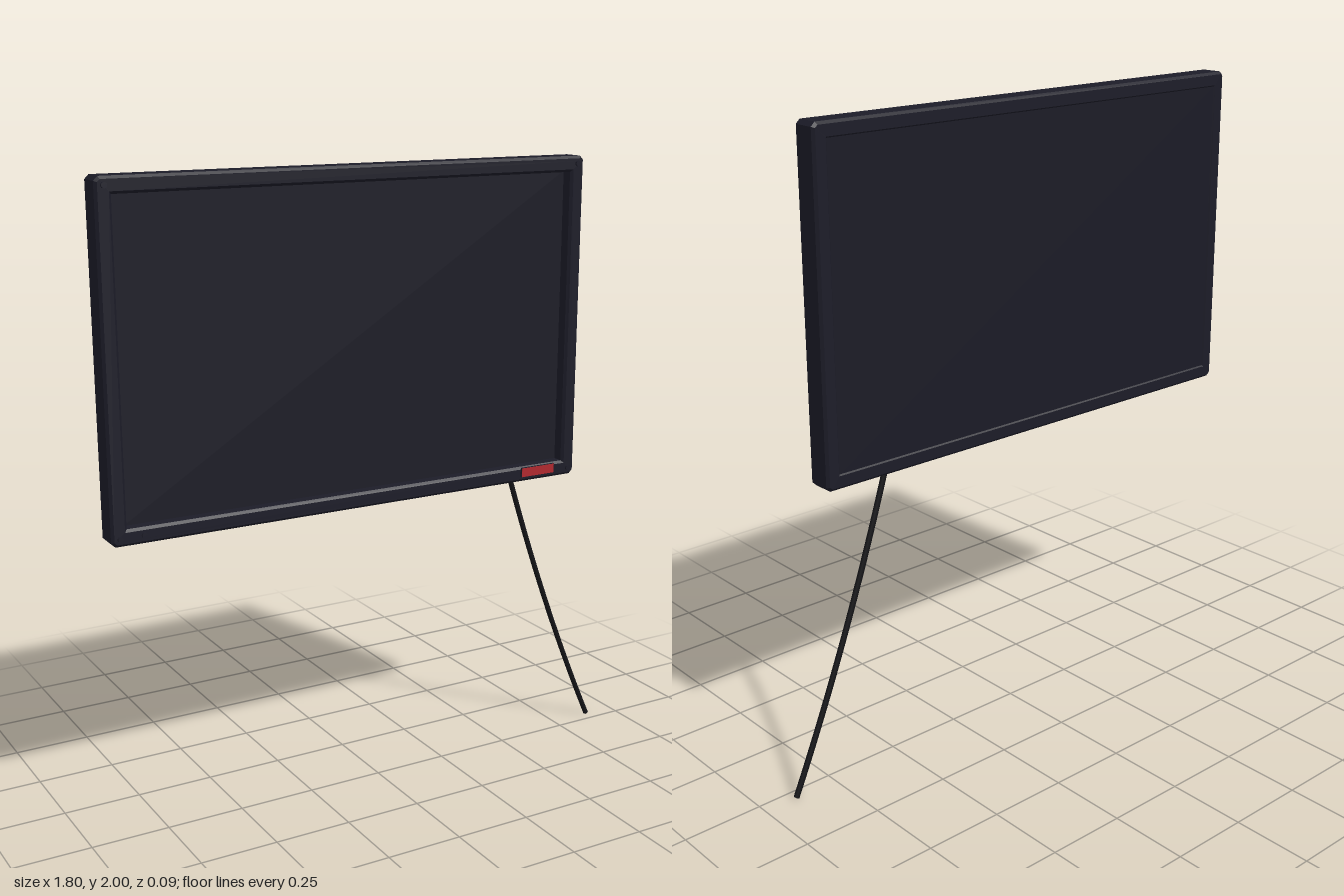
import * as THREE from 'three';

const material = (name, color, flatShading = false) => {
  const m = new THREE.MeshStandardMaterial({ color });
  m.name = name;
  m.flatShading = flatShading;
  return m;
};

// Rectangle outline with cut corners
function outline(target, w, h, c) {
  const x = w / 2, y = h / 2;
  const pts = [[-x + c, -y], [x - c, -y], [x, -y + c], [x, y - c], [x - c, y], [-x + c, y], [-x, y - c], [-x, -y + c]];
  return target.setFromPoints(pts.map(([a, b]) => new THREE.Vector2(a, b)));
}

export function createModel() {
  const group = new THREE.Group();
  const casing = material('casing charcoal', 0x1c1c28, true);
  const glass = material('screen charcoal', 0x1b1b26);
  const black = material('cable black', 0x141417);
  const red = material('label red', 0xb0282e);

  const add = (name, geometry, mat, x, y, z) => {
    const mesh = new THREE.Mesh(geometry, mat);
    mesh.name = name;
    mesh.position.set(x, y, z);
    group.add(mesh);
    return mesh;
  };

  const W = 1.641, H = 1.053, cx = -0.0825, cy = 1.4735;
  const back = -0.046, front = 0.039, bevel = 0.008;

  // Bevelled outer frame with an opening for the screen
  const shape = outline(new THREE.Shape(), W - 2 * bevel, H - 2 * bevel, 0.008);
  shape.holes.push(outline(new THREE.Path(), W - 0.098 + 2 * bevel, H - 0.1 + 2 * bevel, 0.001));
  const frame = new THREE.ExtrudeGeometry(shape, {
    depth: front - back - 2 * bevel, bevelEnabled: true,
    bevelSize: bevel, bevelThickness: bevel, bevelSegments: 1,
  });
  add('frame', frame, casing, cx, cy, back + bevel);

  // Deeply recessed screen at the front, nearly flush panel at the back
  add('screen', new THREE.BoxGeometry(W - 0.08, H - 0.085, 0.012), glass, cx, cy, -0.009);
  add('backPanel', new THREE.BoxGeometry(W - 0.08, H - 0.085, 0.027), glass, cx, cy, -0.0285);

  // Small studs on the frame corners, with an indicator beside one
  const stud = new THREE.CylinderGeometry(0.009, 0.009, 0.012, 12).rotateX(Math.PI / 2);
  for (const sx of [-1, 1]) {
    for (const sy of [-1, 1]) {
      add('cornerStud', stud, casing, cx + sx * (W / 2 - 0.026), cy + sy * (H / 2 - 0.024), front);
    }
  }
  add('indicator', stud, casing, -0.803, 0.974, front);

  // Dark label plate with a red face on the lower frame
  add('labelPlate', new THREE.BoxGeometry(0.13, 0.032, 0.006), casing, 0.587, 0.979, front + 0.003);
  add('labelFace', new THREE.BoxGeometry(0.128, 0.03, 0.001), red, 0.587, 0.979, front + 0.0065);

  // Hanging power cable
  const path = new THREE.QuadraticBezierCurve3(
    new THREE.Vector3(0.515, 0.975, -0.028),
    new THREE.Vector3(0.678, 0.47, -0.035),
    new THREE.Vector3(0.893, 0.004, -0.038),
  );
  add('cable', new THREE.TubeGeometry(path, 32, 0.009, 8), black, 0, 0, 0);
  const tip = path.getPointAt(1);
  const cap = add('cableEnd', new THREE.CircleGeometry(0.009, 8), black, tip.x, tip.y, tip.z);
  cap.quaternion.setFromUnitVectors(new THREE.Vector3(0, 0, 1), path.getTangentAt(1));

  return group;
}
